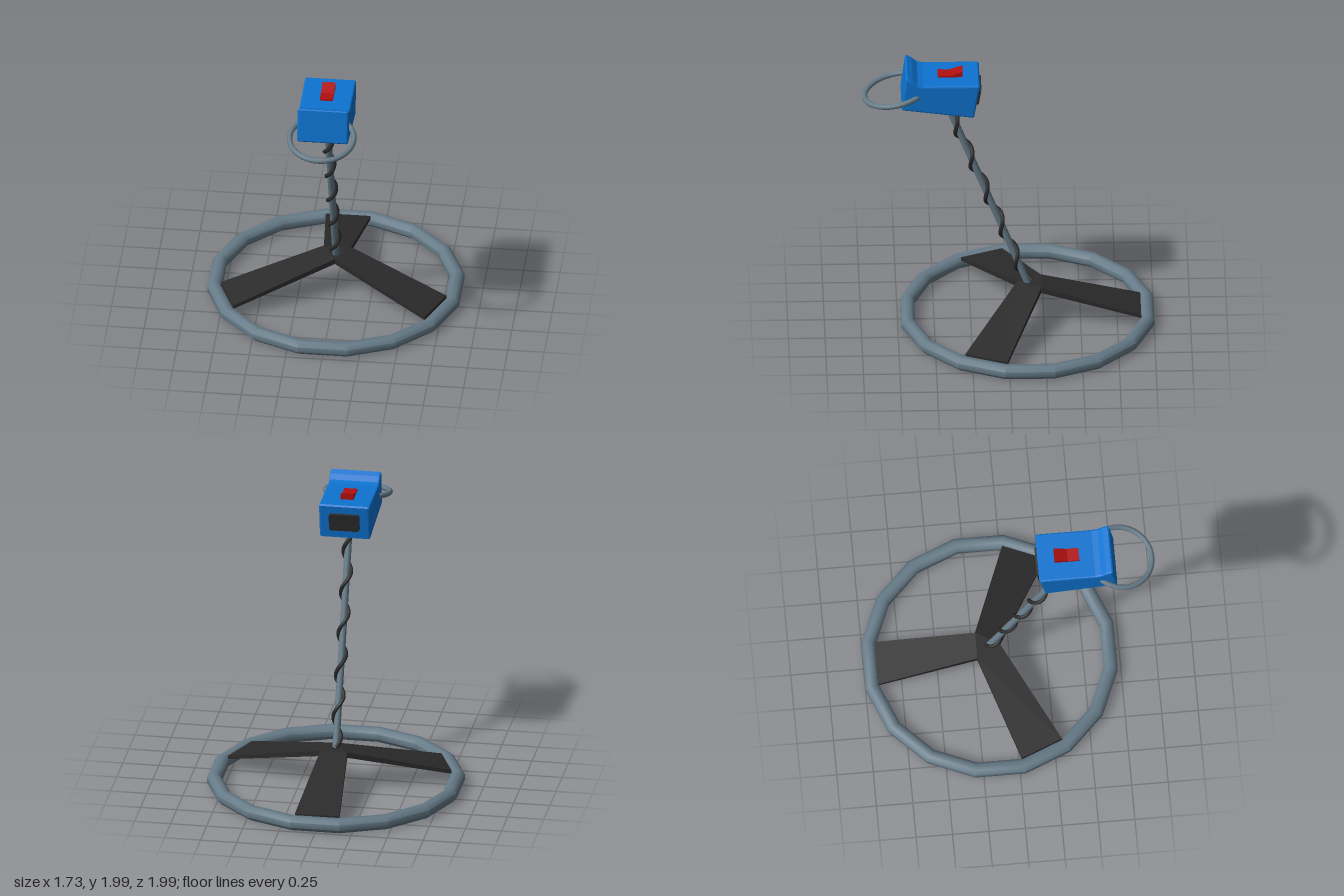
import * as THREE from 'three';
import { mergeGeometries, toCreasedNormals } from 'three/addons/utils/BufferGeometryUtils.js';

const mat = (name, color) => {
  const m = new THREE.MeshStandardMaterial({ color });
  m.name = name;
  return m;
};

// Solid below a polygon; corners [x, y, z, thickness], counter-clockwise from above
function slab(corners) {
  const n = corners.length, pos = [];
  const top = corners.map(([x, y, z]) => [x, y, z]);
  const low = corners.map(([x, y, z, t]) => [x, y - t, z]);
  const tri = (a, b, c) => pos.push(...a, ...b, ...c);
  for (let i = 1; i < n - 1; i++) {
    tri(top[0], top[i], top[i + 1]);
    tri(low[0], low[i + 1], low[i]);
  }
  for (let i = 0; i < n; i++) {
    const j = (i + 1) % n;
    tri(top[i], low[i], low[j]);
    tri(top[i], low[j], top[j]);
  }
  const g = new THREE.BufferGeometry();
  g.setAttribute('position', new THREE.Float32BufferAttribute(pos, 3));
  g.computeVertexNormals();
  return g;
}

// Side profile of [z, y] points extruded across x
function sideExtrude(points, width, bevel) {
  const shape = new THREE.Shape(points.map(([z, y]) => new THREE.Vector2(z, y)));
  const g = new THREE.ExtrudeGeometry(shape, {
    depth: width - 2 * bevel, bevelEnabled: bevel > 0, bevelThickness: bevel,
    bevelSize: bevel, bevelOffset: -bevel, bevelSegments: 2,
  });
  g.translate(0, 0, bevel - width / 2);
  g.rotateY(-Math.PI / 2);
  return g;
}

export function createModel() {
  const group = new THREE.Group();
  const grey = mat('steel grey', 0x667b88);
  const black = mat('black', 0x2b2b2b);
  const blue = mat('blue', 0x0d74d1);
  const red = mat('red', 0xb30f0f);
  const add = (name, geo, material) => {
    const m = new THREE.Mesh(geo, material);
    m.name = name;
    group.add(m);
    return m;
  };

  // Search ring: octagonal section swept round 16 sides
  const ringZ = -0.137, step = Math.PI / 8;
  const section = [];
  for (let i = 0; i <= 8; i++) {
    const a = (i + 0.5) * Math.PI / 4;
    section.push(new THREE.Vector2(0.832 + 0.052 * Math.cos(a), 0.048 + 0.052 * Math.sin(a)));
  }
  const ring = toCreasedNormals(new THREE.LatheGeometry(section, 16, step / 2), 0.8);
  add('searchRing', ring, grey).position.z = ringZ;

  // Three spokes from a raised triangular hub to flat sides of the ring
  const hubZ = -0.175, hubR = 0.108, hubY = 0.285;
  const hub = [0, 1, 2].map((i) => {
    const a = i * Math.PI * 2 / 3;
    return [hubR * Math.sin(a), hubY, hubZ + hubR * Math.cos(a), 0.04];
  });
  const parts = [slab(hub)];
  [3, 8, 13].forEach((side, i) => {
    const rim = (k) => {
      const a = (k + 0.5) * step;
      return [0.79 * Math.sin(a), 0.098, ringZ + 0.79 * Math.cos(a), 0.025];
    };
    parts.push(slab([hub[i], rim(side - 1), rim(side), hub[(i + 1) % 3]]));
  });
  add('spokes', mergeGeometries(parts), black);

  // Leaning pole
  const base = new THREE.Vector3(0, 0.26, -0.145);
  const tip = new THREE.Vector3(0, 1.78, 0.445);
  const dir = tip.clone().sub(base);
  const length = dir.length();
  dir.normalize();
  const pole = add('pole', new THREE.CylinderGeometry(0.024, 0.024, length, 12), grey);
  pole.position.copy(base).lerp(tip, 0.5);
  pole.quaternion.setFromUnitVectors(new THREE.Vector3(0, 1, 0), dir);

  // Cable coiled round the pole
  const front = new THREE.Vector3(0, -dir.z, dir.y);
  const coil = [];
  const turns = 5.4, start = -1.4;
  for (let i = 0; i <= 86; i++) {
    const u = i / 86, t = start + u * turns * Math.PI * 2;
    const p = base.clone().addScaledVector(dir, 0.02 + u * turns * 0.284);
    p.addScaledVector(front, 0.031 * Math.sin(t));
    p.x -= 0.031 * Math.cos(t);
    coil.push(p);
  }
  add('cable', new THREE.TubeGeometry(new THREE.CatmullRomCurve3(coil), 172, 0.014, 8), black);

  // Control box with a raised lip at the front
  add('controlBox', sideExtrude([
    [0.23, 1.68], [0.245, 1.68], [0.715, 1.743], [0.725, 1.755], [0.695, 1.985],
    [0.685, 1.99], [0.65, 1.97], [0.615, 1.94], [0.575, 1.93], [0.2, 1.93], [0.19, 1.92],
  ], 0.35, 0.012), blue);

  // Rocker switch on top
  add('rockerSwitch', sideExtrude([
    [0.305, 1.92], [0.475, 1.92], [0.475, 1.943], [0.395, 1.941], [0.305, 1.972],
  ], 0.09, 0), red);

  // Screen on the back face
  const w = 0.105, h = 0.062, c = 0.012;
  const outline = new THREE.Shape([
    [-w + c, -h], [w - c, -h], [w, -h + c], [w, h - c],
    [w - c, h], [-w + c, h], [-w, h - c], [-w, -h + c],
  ].map(([x, y]) => new THREE.Vector2(x, y)));
  const screenGeo = new THREE.ExtrudeGeometry(outline, { depth: 0.03, bevelEnabled: false });
  screenGeo.translate(0, 0, -0.02);
  const screen = add('screen', screenGeo, black);
  screen.position.set(0, 1.805, 0.208);
  screen.rotation.x = -0.16;

  // Round handle tilted down at the front
  const handle = add('handle', new THREE.TorusGeometry(0.22, 0.019, 10, 48), grey);
  handle.position.set(0, 1.81, 0.76);
  handle.rotation.x = Math.PI / 2 + 0.21;

  return group;
}
